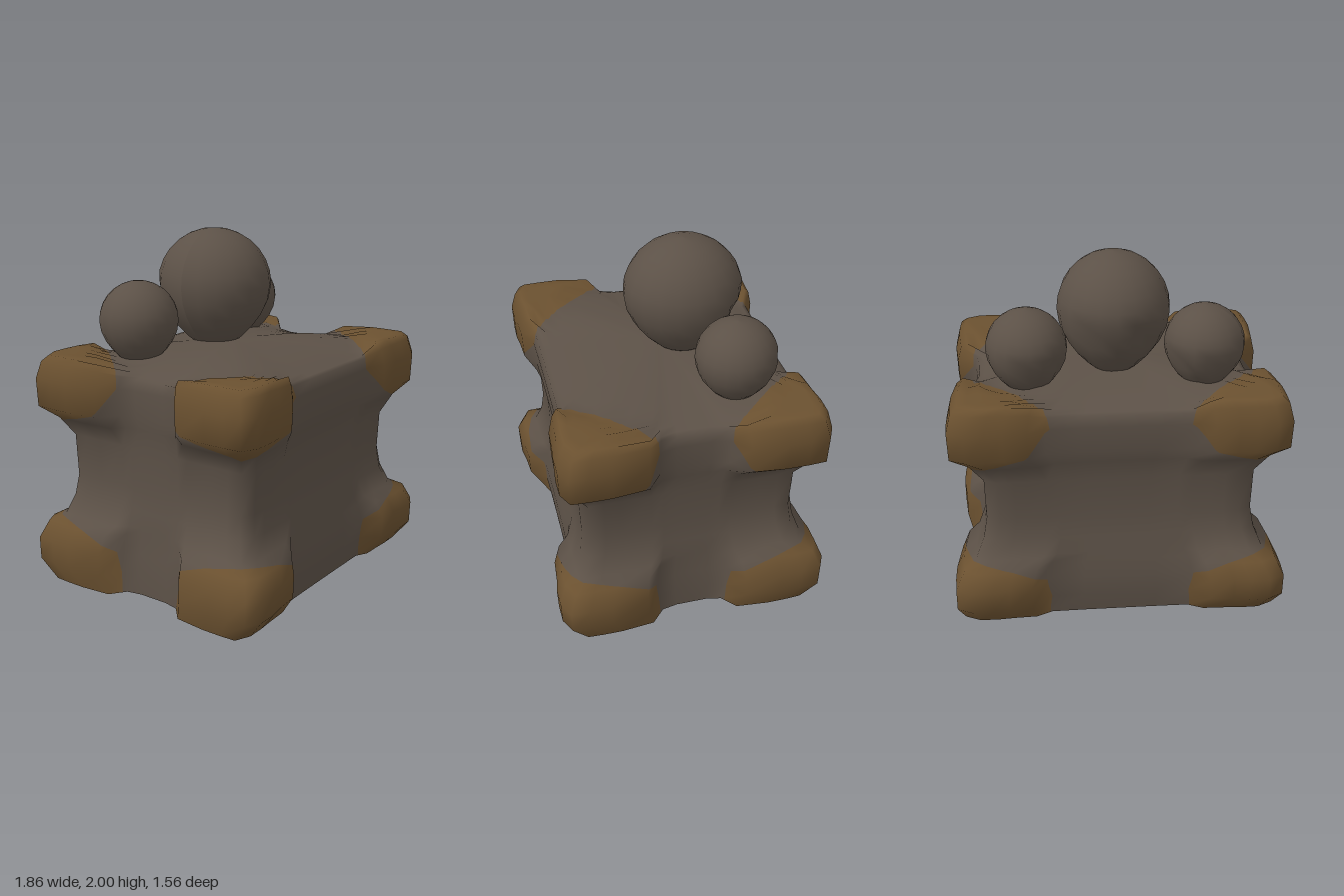
import * as THREE from 'three';

const { lerp, smoothstep } = THREE.MathUtils;

// Quarter outline from front centre to side centre.
// Front points: fraction of corner x, bulge weight. Side points: fraction of corner z, bulge weight.
const FRONT = [[0, 0], [0.22, 0], [0.44, 0.04], [0.54, 0.8], [0.68, 0.88], [0.78, 1], [0.9, 0.98]];
const SIDE = [[0.94, 0.96], [0.8, 1], [0.64, 1], [0.37, 0.85], [0.26, 0.15], [0.13, 0], [0, 0]];

// Block sections: mid y, corner y, mid x, mid z, corner x, corner z
const LEVELS = [
  [0.01, 0, 0.78, 0.64, 0.89, 0.68],
  [0.13, 0.12, 0.78, 0.655, 0.93, 0.775],
  [0.25, 0.25, 0.77, 0.655, 0.93, 0.78],
  [0.35, 0.35, 0.76, 0.64, 0.88, 0.74],
  [0.4, 0.39, 0.76, 0.635, 0.81, 0.665],
  [0.5, 0.5, 0.75, 0.62, 0.762, 0.625],
  [0.62, 0.62, 0.735, 0.605, 0.74, 0.61],
  [0.86, 0.86, 0.74, 0.61, 0.745, 0.62],
  [0.98, 0.97, 0.76, 0.64, 0.82, 0.67],
  [1.05, 1.05, 0.77, 0.66, 0.92, 0.74],
  [1.2, 1.21, 0.78, 0.67, 0.925, 0.745],
  [1.26, 1.31, 0.765, 0.655, 0.9, 0.72],
];

// Closed ring of points for one section
function ring([my, cy, mx, mz, cx, cz]) {
  const quarter = [
    ...FRONT.map(([f, w]) => [f * cx, lerp(my, cy, w), lerp(mz, cz, w)]),
    ...SIDE.map(([f, w]) => [lerp(mx, cx, w), lerp(my, cy, w), f * cz]),
  ];
  const out = [];
  [[1, 1], [1, -1], [-1, -1], [-1, 1]].forEach(([sx, sz], q) => {
    const pts = q % 2 ? [...quarter].reverse() : quarter;
    for (const [x, y, z] of pts.slice(0, -1)) out.push([sx * x, y, sz * z]);
  });
  return out;
}

// Positive towards the four vertical corners
const cornerness = (x, z) => (Math.abs(x) - 0.4) / 0.41 + (Math.abs(z) - 0.2) / 0.45 - 1;

// Positive inside the eight corner caps
function capField(p) {
  const low = Math.max(0, p.y - 0.2) / 0.18;
  const high = Math.max(0, 1.18 - p.y) / 0.21;
  return cornerness(p.x, p.z) - Math.min(low ** 2, 0.85 * high ** 1.3);
}

function blockGeometry() {
  const rows = [];
  const base = ring(LEVELS[0]);
  const rim = ring(LEVELS[LEVELS.length - 1]);
  // Underside
  for (const s of [0, 0.3, 0.6, 0.85, 1]) rows.push(base.map(([x, y, z]) => [x * s, lerp(0.01, y, s), z * s]));
  // Walls
  for (const level of LEVELS) rows.push(ring(level));
  // Domed top with raised corner lumps
  for (const s of [0.96, 0.9, 0.84, 0.78, 0.72, 0.66, 0.55, 0.4, 0.2, 0]) {
    rows.push(rim.map(([x, , z]) => {
      const lump = smoothstep(cornerness(x * s, z * s), 0, 0.28);
      return [x * s, lerp(1.36 - 0.1 * s * s, 1.34, lump), z * s];
    }));
  }
  const n = base.length;
  const index = [];
  for (let j = 0; j < rows.length - 1; j++) {
    for (let i = 0; i < n; i++) {
      const a = j * n + i, b = j * n + (i + 1) % n;
      index.push(a, b, b + n, a, b + n, a + n);
    }
  }
  const geo = new THREE.BufferGeometry();
  geo.setAttribute('position', new THREE.Float32BufferAttribute(rows.flat(2), 3));
  geo.setIndex(index);
  geo.computeVertexNormals();
  return geo;
}

// Cut a geometry along field = 0 and return the [positive, negative] halves
function splitGeometry(geo, field) {
  const flat = geo.toNonIndexed();
  const P = flat.attributes.position, N = flat.attributes.normal;
  return [1, -1].map((sign) => {
    const pos = [], nor = [];
    for (let t = 0; t < P.count; t += 3) {
      const tri = [0, 1, 2].map((k) => {
        const p = new THREE.Vector3().fromBufferAttribute(P, t + k);
        return { p, n: new THREE.Vector3().fromBufferAttribute(N, t + k), f: sign * capField(p) };
      });
      const edge = tri[1].p.clone().sub(tri[0].p).cross(tri[2].p.clone().sub(tri[0].p));
      if (edge.length() < 1e-9) continue;
      const poly = [];
      tri.forEach((a, k) => {
        const b = tri[(k + 1) % 3];
        if (a.f >= 0) poly.push(a);
        if ((a.f >= 0) !== (b.f >= 0)) {
          const u = a.f / (a.f - b.f);
          poly.push({ p: a.p.clone().lerp(b.p, u), n: a.n.clone().lerp(b.n, u).normalize() });
        }
      });
      for (let k = 1; k < poly.length - 1; k++) {
        for (const v of [poly[0], poly[k], poly[k + 1]]) {
          pos.push(...v.p.toArray());
          nor.push(...v.n.toArray());
        }
      }
    }
    const half = new THREE.BufferGeometry();
    half.setAttribute('position', new THREE.Float32BufferAttribute(pos, 3));
    half.setAttribute('normal', new THREE.Float32BufferAttribute(nor, 3));
    return half;
  });
}

// Rounded head, tapering down to the block, with two sockets and a nose dent at the back (-z)
function headGeometry(rx, ry, rz) {
  const geo = new THREE.SphereGeometry(1, 20, 14);
  const pos = geo.attributes.position;
  const dents = [[0.42, -0.25, -0.87, 0.13], [-0.42, -0.25, -0.87, 0.13], [0, -0.62, -0.78, 0.08]];
  const v = new THREE.Vector3();
  for (let i = 0; i < pos.count; i++) {
    v.fromBufferAttribute(pos, i);
    let r = 1;
    for (const [x, y, z, depth] of dents) {
      r -= depth * (1 - smoothstep(Math.hypot(v.x - x, v.y - y, v.z - z), 0.08, 0.4));
    }
    v.multiplyScalar(r);
    const down = Math.max(0, -v.y);
    const taper = 1 - 0.35 * down * down;
    pos.setXYZ(i, v.x * rx * taper, v.y * ry * (down > 0 ? 1.24 : 1), v.z * rz * taper);
  }
  geo.computeVertexNormals();
  return geo;
}

export function createModel() {
  const stone = new THREE.MeshStandardMaterial({ name: 'dark stone', color: 0x5c5147 });
  const bronze = new THREE.MeshStandardMaterial({ name: 'brown bronze', color: 0x6b5130 });

  const model = new THREE.Group();
  model.name = 'pedestal';
  const add = (name, geo, mat, x = 0, y = 0, z = 0, yaw = 0) => {
    const mesh = new THREE.Mesh(geo, mat);
    mesh.name = name;
    mesh.position.set(x, y, z);
    mesh.rotation.y = yaw;
    model.add(mesh);
  };

  // Block and its corner caps
  const [caps, body] = splitGeometry(blockGeometry(), capField);
  add('block', body, stone);
  add('cornerCaps', caps, bronze);

  // Three heads on top
  add('middleHead', headGeometry(0.315, 0.32, 0.338), stone, 0, 1.68, -0.14);
  for (const side of [1, -1]) {
    add(side > 0 ? 'leftHead' : 'rightHead', headGeometry(0.222, 0.22, 0.227), stone,
      side * 0.488, 1.52, -0.305, side * 0.4);
  }
  return model;
}
